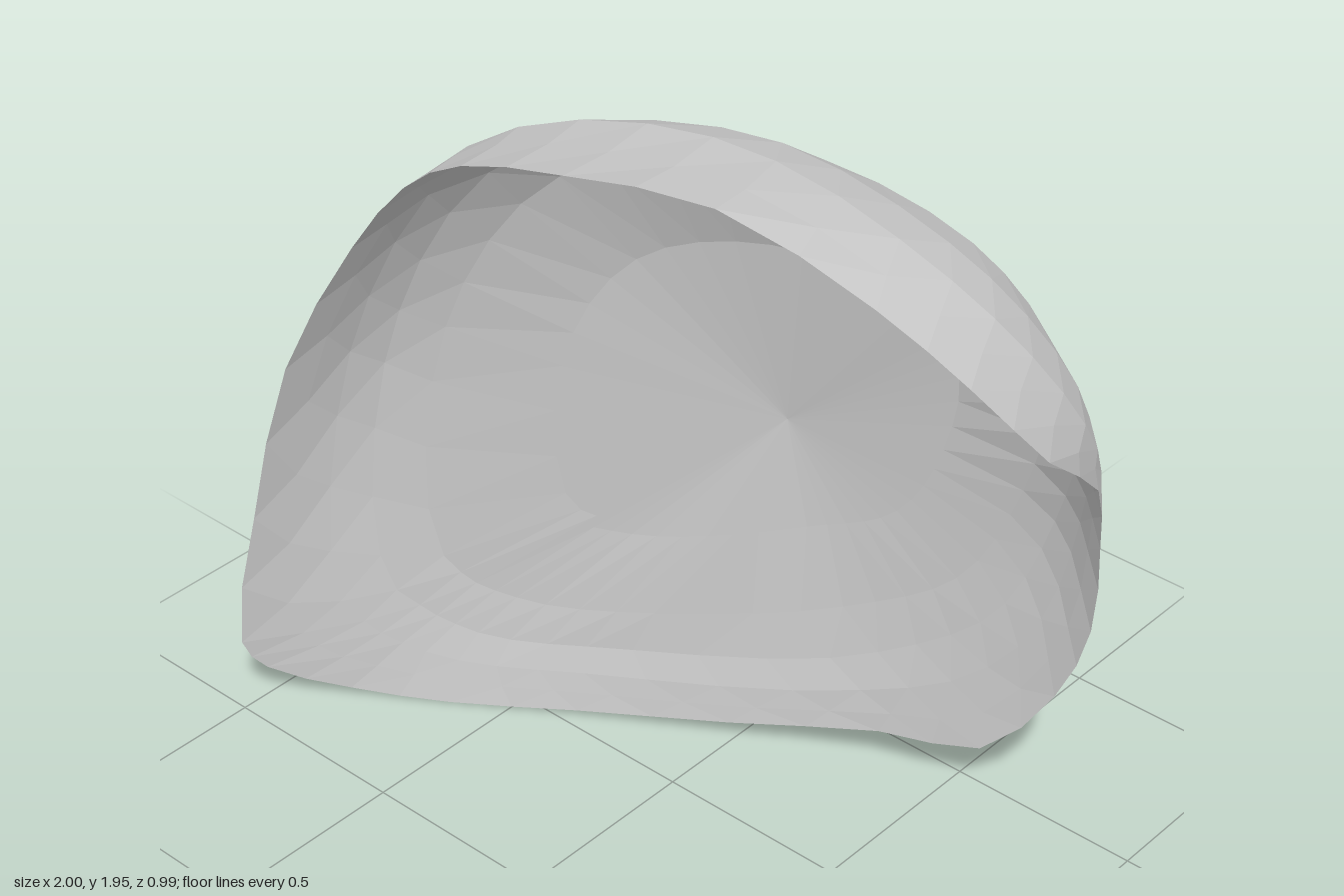
import * as THREE from 'three';

const V = (p) => new THREE.Vector3(...p);
const loop = (pts) => new THREE.CatmullRomCurve3(pts.map(V), true);

// Open edge of the shell, anticlockwise from the lower right-hand tip
const rim = loop([
  [-1, .2, .49], [-.97, .11, .44], [-.83, .03, .29], [-.63, 0, .14], [-.35, .02, -.03], [0, .06, -.21],
  [.35, .13, -.36], [.61, .18, -.42], [.78, .4, -.465], [.87, .64, -.455], [.91, .92, -.4],
  [.95, 1.14, -.31], [1, 1.37, -.04], [.92, 1.6, .14], [.76, 1.77, .25], [.46, 1.945, .39],
  [.12, 1.925, .465], [-.2, 1.82, .44], [-.42, 1.67, .4], [-.6, 1.45, .4], [-.8, 1.07, .45], [-.93, .6, .475],
]);
// Where the curled wall turns towards the back
const shoulder = loop([
  [-.82, .3, .24], [-.68, .15, .12], [-.33, .14, -.09], [.3, .25, -.38], [.66, .5, -.475], [.82, .92, -.475],
  [.93, 1.35, -.27], [.73, 1.72, -.06], [.2, 1.87, .02], [-.36, 1.73, .2], [-.77, 1.08, .24],
]);
// Flatter back sheet
const back = loop([
  [-.6, .46, .04], [-.44, .38, -.06], [-.15, .4, -.2], [.2, .5, -.37], [.45, .65, -.45], [.6, .95, -.47],
  [.68, 1.33, -.425], [.55, 1.58, -.33], [.16, 1.7, -.2], [-.29, 1.55, -.04], [-.56, 1.1, .05],
]);
const centre = V([.08, .95, -.335]);
const focus = V([.25, .95, .6]);

const SIDES = 44;
const ROWS = [0, .13, .27, .42, .58, .78];

// Point on the shell: t runs round the rim, s from the rim to the centre
function shellPoint(t, s, thickness) {
  const u = ((t % 1) + 1) % 1;
  const spoke = new THREE.CatmullRomCurve3([rim.getPoint(u), shoulder.getPoint(u), back.getPoint(u), centre]);
  const p = spoke.getPoint(s);
  const inward = focus.clone().sub(p).normalize();
  return p.addScaledVector(inward, thickness * Math.min(1, s * 4));
}

// Rings of vertices, slightly uneven for a faceted look, closed by a fan
function skin(thickness, facesFront) {
  const pos = [], index = [];
  const tri = (a, b, c) => index.push(...(facesFront ? [a, b, c] : [a, c, b]));
  ROWS.forEach((s, j) => {
    for (let i = 0; i < SIDES; i++) {
      const wob = j ? Math.sin(i * 12.9 + j * 7.3) : 0;
      const t = (i + j / 2 + wob * .15) / SIDES;
      pos.push(...shellPoint(t, s + wob * .012, thickness).toArray());
    }
  });
  pos.push(...shellPoint(0, 1, thickness).toArray());
  for (let i = 0; i < SIDES; i++) {
    const n = (i + 1) % SIDES;
    for (let j = 0; j < ROWS.length - 1; j++) {
      const a = j * SIDES, b = a + SIDES;
      tri(a + i, a + n, b + i);
      tri(a + n, b + n, b + i);
    }
    const last = (ROWS.length - 1) * SIDES;
    tri(last + i, last + n, ROWS.length * SIDES);
  }
  const g = new THREE.BufferGeometry();
  g.setAttribute('position', new THREE.Float32BufferAttribute(pos, 3));
  g.setIndex(index);
  const flat = g.toNonIndexed();
  flat.computeVertexNormals();
  return flat;
}

export function createModel() {
  const group = new THREE.Group();
  group.name = 'curvedShell';
  const grey = new THREE.MeshStandardMaterial({ color: 0xcccccc });
  grey.name = 'grey';
  grey.flatShading = true;

  const outer = new THREE.Mesh(skin(0, false), grey);
  outer.name = 'outerSurface';
  const inner = new THREE.Mesh(skin(.03, true), grey);
  inner.name = 'innerSurface';
  group.add(outer, inner);
  return group;
}
